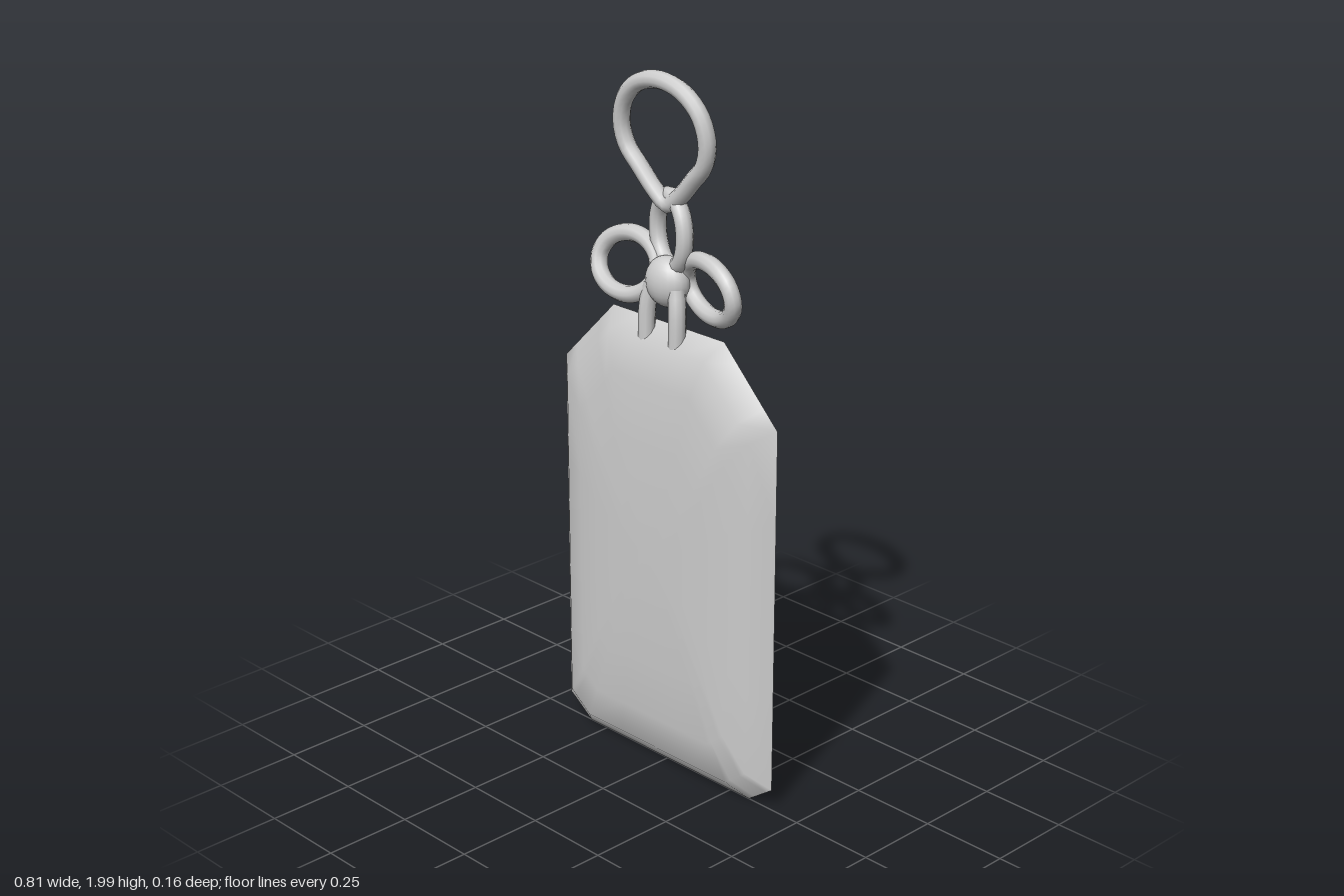
import * as THREE from 'three';

const V = (x, y, z) => new THREE.Vector3(x, y, z);

// One domed half of the pouch: octagon outline shrunk ring by ring towards the middle
function pouchHalf(side) {
  const outline = [[0.32, 0.01], [0.405, 0.07], [0.405, 1.12], [0.21, 1.315],
    [-0.21, 1.315], [-0.405, 1.12], [-0.405, 0.07], [-0.32, 0.01]];
  const rings = [[1, 1, 0], [0.86, 0.92, 0.048], [0.69, 0.76, 0.066], [0.5, 0.5, 0.075], [0.25, 0.2, 0.079]];
  const cy = 0.66, steps = 4, pos = [], index = [];
  const n = outline.length * steps;
  for (const [sx, sy, z] of rings) {
    outline.forEach(([x, y], i) => {
      const [x2, y2] = outline[(i + 1) % outline.length];
      for (let k = 0; k < steps; k++) {
        const t = k / steps;
        pos.push((x + (x2 - x) * t) * sx, cy + (y + (y2 - y) * t - cy) * sy, z * side);
      }
    });
  }
  pos.push(0, cy, 0.079 * side);
  const tri = (a, b, c) => (side > 0 ? index.push(a, b, c) : index.push(a, c, b));
  for (let r = 0; r < rings.length; r++) {
    for (let i = 0; i < n; i++) {
      const j = (i + 1) % n, a = r * n + i, b = r * n + j;
      if (r === rings.length - 1) tri(a, b, rings.length * n);
      else { tri(a, b, b + n); tri(a, b + n, a + n); }
    }
  }
  const geo = new THREE.BufferGeometry();
  geo.setAttribute('position', new THREE.Float32BufferAttribute(pos, 3));
  geo.setIndex(index);
  geo.computeVertexNormals();
  return geo;
}

export function createModel() {
  const group = new THREE.Group();
  const grey = new THREE.MeshStandardMaterial({ color: 0xcccccc });
  grey.name = 'plain grey';
  const add = (name, geo) => {
    const mesh = new THREE.Mesh(geo, grey);
    mesh.name = name;
    group.add(mesh);
    return mesh;
  };
  const cord = (name, points, closed = true) => add(name, new THREE.TubeGeometry(
    new THREE.CatmullRomCurve3(points, closed), closed ? 48 : 8, 0.024, 10, closed));
  const ellipse = (cx, cy, rx, ry, zAt) => Array.from({ length: 12 }, (_, i) => {
    const a = i / 12 * Math.PI * 2, c = Math.cos(a), s = Math.sin(a);
    return V(cx + rx * c, cy + ry * s, zAt(c, s));
  });

  // Pouch
  add('pouchFront', pouchHalf(1));
  add('pouchBack', pouchHalf(-1));

  // Hanging loop: teardrop leaning slightly forward
  const half = [[0.045, 1.67], [0.1, 1.727], [0.143, 1.775], [0.158, 1.835], [0.138, 1.905], [0.08, 1.957]];
  const lean = y => (y - 1.65) * 0.08;
  cord('hangingLoop', [
    V(0, 1.64, 0), ...half.map(([x, y]) => V(x, y, lean(y))), V(0, 1.975, 0.026),
    ...half.map(([x, y]) => V(-x, y, lean(y))).reverse()]);

  // Small link loop, turned a little about the vertical
  cord('linkLoop', ellipse(0, 1.565, 0.073, 0.096, c => -0.012 + 0.022 * c));

  // Bow loops, each twisted its own way
  cord('leftBowLoop', ellipse(0.155, 1.444, 0.112, 0.077, (c, s) => 0.028 * c + 0.012 * s));
  cord('rightBowLoop', ellipse(-0.155, 1.444, 0.112, 0.077, (c, s) => -0.003 - 0.027 * s));

  // Knot
  const knot = add('knot', new THREE.SphereGeometry(0.07, 20, 14));
  knot.position.set(0, 1.43, 0);
  knot.scale.z = 0.72;

  // Cord ends running into the pouch
  for (const s of [1, -1]) {
    cord(s > 0 ? 'leftCordEnd' : 'rightCordEnd',
      [V(s * 0.045, 1.42, 0.012), V(s * 0.056, 1.36, 0.02), V(s * 0.057, 1.22, 0.023)], false);
  }
  return group;
}
